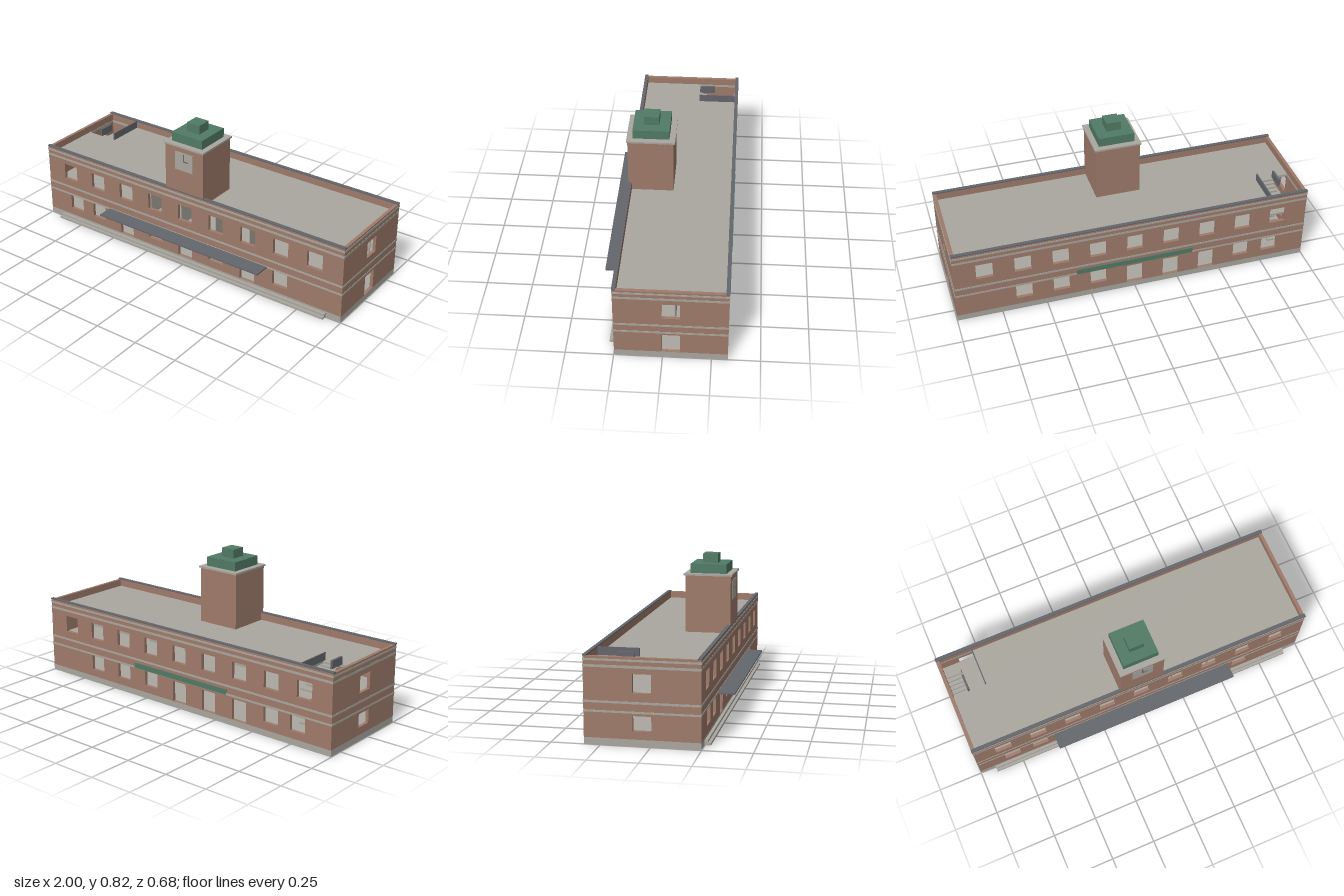
import * as THREE from 'three';

const material = (name, color) => {
  const m = new THREE.MeshStandardMaterial({ color });
  m.name = name;
  return m;
};

export function createModel() {
  const brick = material('brick', 0x9f7b6b);
  const stone = material('stone', 0xaaa79f);
  const copper = material('green copper', 0x517b65);
  const slate = material('slate', 0x63666c);

  const model = new THREE.Group();
  model.name = 'stationBuilding';

  const add = (name, geometry, mat, parent = model) => {
    const mesh = new THREE.Mesh(geometry, mat);
    mesh.name = name;
    parent.add(mesh);
    return mesh;
  };
  // Box given by its limits on each axis
  const box = (name, mat, [x0, x1], [y0, y1], [z0, z1], parent = model) => {
    const mesh = add(name, new THREE.BoxGeometry(x1 - x0, y1 - y0, z1 - z0), mat, parent);
    mesh.position.set((x0 + x1) / 2, (y0 + y1) / 2, (z0 + z1) / 2);
    return mesh;
  };
  // Flat plate with rectangular holes, each [left, right, bottom, top]
  const plate = ([l, r, b, t], holes, depth) => {
    const rect = (C, [a, c, d, e]) => {
      const p = new C();
      p.moveTo(a, d); p.lineTo(c, d); p.lineTo(c, e); p.lineTo(a, e); p.closePath();
      return p;
    };
    const shape = rect(THREE.Shape, [l, r, b, t]);
    holes.forEach((h) => shape.holes.push(rect(THREE.Path, h)));
    return new THREE.ExtrudeGeometry(shape, { depth, bevelEnabled: false });
  };

  const X = 0.998, FRONT = 0.248, BACK = -0.333, T = 0.018;
  const BASE = 0.035, TOP = 0.44, W = 0.0465;

  // Plinth and front steps
  box('plinth', stone, [-X, X], [0, BASE], [BACK, FRONT]);
  box('upperStep', stone, [-0.91, 0.91], [0, 0.024], [FRONT, 0.264]);
  box('lowerStep', stone, [-0.91, 0.91], [0, 0.012], [0.264, 0.28]);

  // Long walls with nine upper windows and mixed doors and windows below
  const bays = [];
  for (let i = -4; i <= 4; i++) bays.push(i * 0.2075);
  const upper = bays.map((x) => [x - W, x + W, 0.265, 0.359]);
  const lower = (doors, windows) => [
    ...doors.map((x) => [x - W, x + W, BASE + 0.0005, 0.153]),
    ...windows.map((x) => [x - W, x + W, 0.077, 0.162]),
  ];
  const frontHoles = lower([-0.415, 0, 0.415], [-0.792, -0.6225, -0.2075, 0.2075, 0.6225]);
  const backHoles = lower([-0.415, -0.2075, 0], [-0.792, -0.6225, 0.2075, 0.415, 0.6225]);
  add('frontWall', plate([-X, X, BASE, TOP], [...upper, ...frontHoles], T), brick).position.z = FRONT - T;
  add('backWall', plate([-X, X, BASE, TOP], [...upper, ...backHoles], T), brick).position.z = BACK;

  // End walls: a door on the left, a window on the right
  for (const side of [1, -1]) {
    const sill = side > 0 ? BASE + 0.0005 : 0.077;
    const holes = [[-0.004, 0.089, 0.265, 0.359], [-0.004, 0.089, sill, 0.152]];
    const g = plate([-FRONT + T, -BACK - T, BASE, TOP], holes, T).rotateY(Math.PI / 2);
    add(side > 0 ? 'leftWall' : 'rightWall', g, brick).position.x = side > 0 ? X - T : -X;
  }

  // Thin stone courses around the outside
  const course = (name, y0, y1, out) => {
    const g = new THREE.Group();
    g.name = name;
    model.add(g);
    const y = [y0, y1];
    box('front', stone, [-X - out, X + out], y, [FRONT, FRONT + out], g);
    box('back', stone, [-X - out, X + out], y, [BACK - out, BACK], g);
    box('left', stone, [X, X + out], y, [BACK, FRONT], g);
    box('right', stone, [-X - out, -X], y, [BACK, FRONT], g);
  };
  course('lintelCourse', 0.164, 0.174, 0.002);
  course('floorCourse', 0.211, 0.222, 0.002);
  course('roofCourse', 0.386, 0.399, 0.001);
  course('corniceCourse', 0.419, 0.429, 0.002);

  // Parapet copings on the long walls
  box('frontCoping', slate, [-1, 1], [TOP, 0.446], [FRONT - T, FRONT + 0.002]);
  box('backCoping', slate, [-1, 1], [TOP, 0.446], [BACK - 0.002, BACK + T]);

  // Upper floor and roof, open over the stairwell
  const slab = (name, y, depth) => {
    const g = plate([-X + T, X - T, -FRONT + T, -BACK - T], [[-0.979, -0.79, 0.1, 0.314]], depth);
    add(name, g.rotateX(-Math.PI / 2), stone).position.y = y;
  };
  slab('upperFloor', 0.21, 0.012);
  slab('roof', 0.386, 0.014);

  // Stairs: two flights and a landing for each storey
  for (const [y0, y1] of [[BASE, 0.222], [0.222, 0.4]]) {
    const n = 8, rise = (y1 - y0) / (2 * n), run = 0.17 / n, mid = (y0 + y1) / 2;
    for (let i = 0; i < n; i++) {
      const up = y0 + (i + 1) * rise, up2 = mid + (i + 1) * rise;
      const z = -0.1 - i * run, z2 = -0.27 + i * run;
      box('lowerFlightStep', stone, [-0.979, -0.89], [up - rise, up], [z - run, z]);
      box('upperFlightStep', stone, [-0.885, -0.792], [up2 - rise, up2], [z2, z2 + run]);
    }
    box('landing', stone, [-0.979, -0.792], [mid - 0.01, mid], [-0.314, -0.27]);
  }
  box('stairGuard', slate, [-0.793, -0.787], [0.4, 0.443], [-0.314, -0.1]);
  box('stairRail', slate, [-0.895, -0.883], [0.4, 0.443], [-0.19, -0.1]);

  // Inside partitions
  for (const x of [[-0.255, -0.03], [0.14, 0.2], [0.36, 0.465], [0.625, 0.979]])
    box('corridorWall', stone, x, [0.222, 0.386], [-0.066, -0.06]);
  for (const x of [-0.25, -0.04, 0.195, 0.415])
    box('upperPartition', stone, [x - 0.003, x + 0.003], [0.222, 0.386], [-0.06, FRONT - T]);
  box('lowerPartition', stone, [-0.185, -0.179], [BASE, 0.21], [0.01, FRONT - T]);

  // Front canopy and back sign strip
  box('canopy', slate, [-0.54, 0.54], [0.163, 0.171], [FRONT, 0.339]);
  box('backStrip', copper, [-0.33, 0.33], [0.166, 0.195], [BACK - 0.004, BACK]);

  // Clock tower with stepped top
  box('tower', brick, [-0.125, 0.125], [0.4, 0.712], [0, FRONT + 0.0005]);
  box('towerCap', stone, [-0.132, 0.132], [0.712, 0.722], [-0.009, 0.255]);
  box('lowerCrown', copper, [-0.1, 0.1], [0.722, 0.773], [0.023, 0.222]);
  box('upperCrown', copper, [-0.041, 0.041], [0.773, 0.823], [0.082, 0.165]);
  box('clockFace', stone, [-0.059, 0.059], [0.575, 0.683], [FRONT, 0.2505]);
  box('minuteHand', slate, [-0.004, 0.003], [0.63, 0.675], [0.2505, 0.252]);
  box('hourHand', slate, [0.003, 0.029], [0.63, 0.636], [0.2505, 0.252]);

  return model;
}
